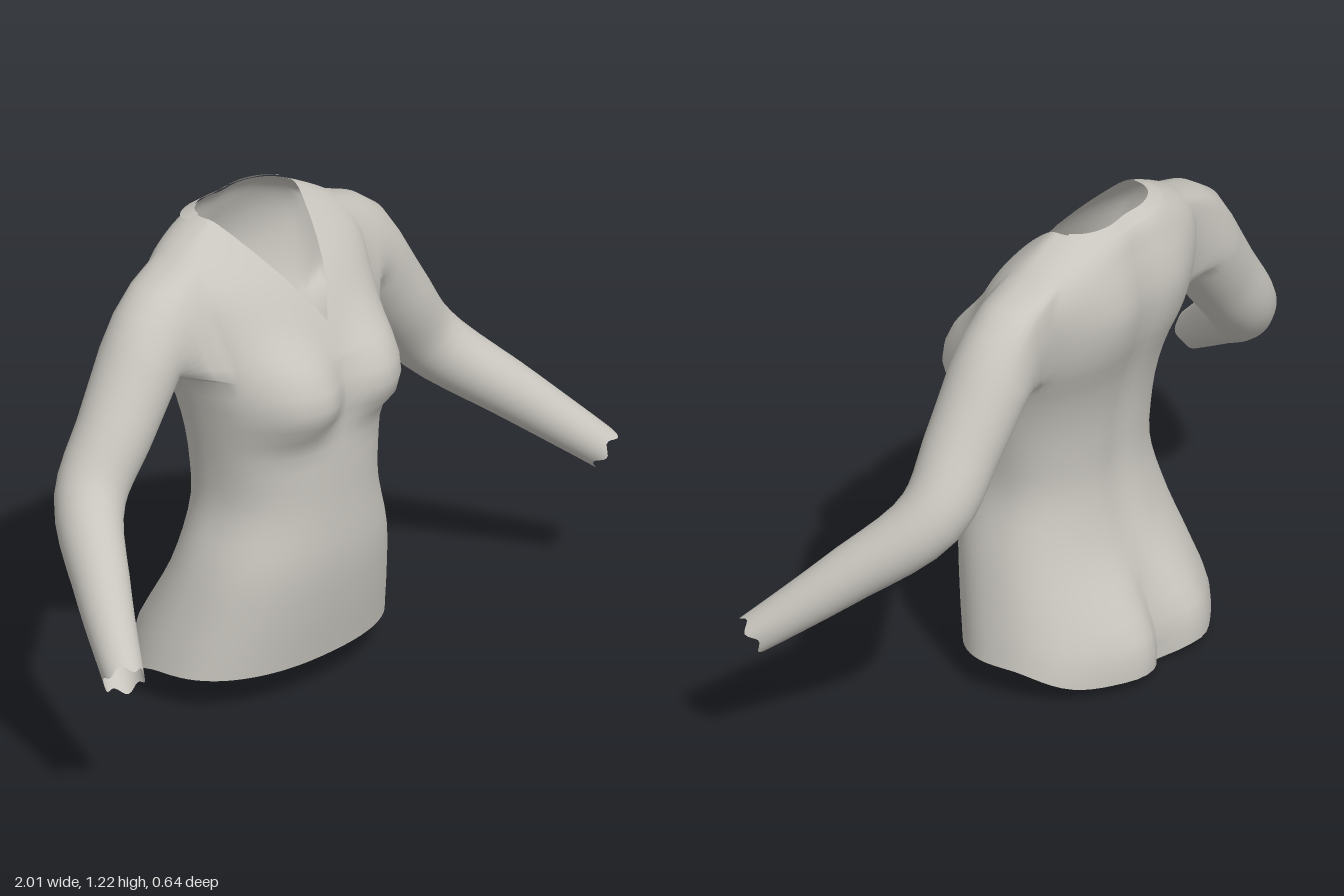
import * as THREE from 'three';

const COLS = 72, LOW = 18, ARM = 9, TOP = 6, ROWS = LOW + ARM + TOP;
const ARMPIT = 0.87, SHOULDER = 1.2, NECK = 1.4;
const { lerp, smoothstep } = THREE.MathUtils;

// Body sections: u, then height, half width, front z, back z, z of the widest point
const SECTIONS = [
  [0, 0, 0.385, 0.15, -0.315, -0.06],
  [0.1, 0.1, 0.368, 0.167, -0.315, -0.05],
  [0.2, 0.2, 0.345, 0.187, -0.272, -0.03],
  [0.35, 0.35, 0.308, 0.207, -0.203, 0],
  [0.5, 0.5, 0.264, 0.205, -0.17, 0],
  [0.6, 0.6, 0.268, 0.205, -0.173, 0],
  [0.7, 0.7, 0.284, 0.203, -0.185, 0],
  [0.8, 0.8, 0.305, 0.2, -0.21, -0.02],
  [0.9, 0.9, 0.335, 0.175, -0.245, -0.06],
  [1.0, 1.0, 0.35, 0.128, -0.263, -0.08],
  [1.1, 1.08, 0.355, 0.075, -0.257, -0.09],
  [1.2, 1.14, 0.32, 0.02, -0.242, -0.1],
  [1.3, 1.19, 0.235, -0.03, -0.225, -0.1],
  [1.4, 1.222, 0.165, -0.06, -0.195, -0.1],
];
const sectionAt = new THREE.CubicInterpolant(
  SECTIONS.map((s) => s[0]), SECTIONS.flatMap((s) => s.slice(1)), 5, new Float32Array(5));

const bell = (d, width) => Math.exp(-((d / width) ** 2));
const soften = (v) => Math.sign(v) * Math.abs(v) ** 0.87;

// Point on the body; angle 0 is the front and a quarter turn is the left side
function bodyPoint(angle, u) {
  const [y, w, front, back, mid] = sectionAt.evaluate(u);
  const c = Math.cos(angle);
  const x = w * soften(Math.sin(angle));
  let z = mid + (c > 0 ? front - mid : mid - back) * soften(c);
  if (c > 0) { // bust
    const r = Math.hypot((Math.abs(x) - 0.16) / 0.125, (y - 0.785) / (y > 0.785 ? 0.14 : 0.08));
    z += 0.064 * Math.exp(-(r ** 3)) * smoothstep(c, 0, 0.35);
  } else { // seat, cleft and spine groove
    const low = 1 - smoothstep(y, 0.1, 0.32);
    const fade = smoothstep(-c, 0, 0.4);
    z -= 0.026 * fade * bell(Math.abs(x) - 0.13, 0.09) * Math.max(low, 0.5 * bell(y - 1, 0.15));
    z += fade * (0.032 * low * bell(x, 0.04) + 0.01 * bell(x, 0.05));
  }
  return new THREE.Vector3(x, y, z);
}

// Lower edge: level in front, dipping at the back
function hemAt(angle) {
  const c = Math.cos(angle);
  const notch = c < 0 ? 0.028 * bell(Math.sin(angle), 0.09) : 0;
  return 0.086 - 0.052 * smoothstep(-c, 0.1, 0.85) - notch;
}

// Upper edge: V neckline in front, round behind
function necklineAt(angle) {
  if (Math.cos(angle) <= 0) return NECK;
  for (let u = 0.96; u < NECK; u += 0.002) {
    const p = bodyPoint(angle, u);
    if (Math.abs(p.x) <= (0.166 * (p.y - 0.96)) / 0.262 + 1e-6) return u;
  }
  return NECK;
}

// Sleeve centre line with radii, shoulder to cuff
const ARM_PATH = new THREE.CatmullRomCurve3([
  [0.445, 0.935, -0.09], [0.55, 0.795, -0.083], [0.67, 0.645, -0.07],
  [0.82, 0.49, 0.09], [0.955, 0.342, 0.262],
].map((p) => new THREE.Vector3(...p)));
const ARM_RADII = [0.106, 0.098, 0.089, 0.07, 0.051];

function armPoint(t, phi) {
  const centre = ARM_PATH.getPoint(t);
  const along = ARM_PATH.getTangent(t);
  const back = new THREE.Vector3(0, 0, -1);
  back.addScaledVector(along, -back.dot(along)).normalize();
  const up = new THREE.Vector3().crossVectors(along, back);
  const f = t * (ARM_RADII.length - 1), i = Math.min(Math.floor(f), ARM_RADII.length - 2);
  const r = lerp(ARM_RADII[i], ARM_RADII[i + 1], f - i);
  centre.addScaledVector(up, -r * Math.cos(phi)).addScaledVector(back, r * Math.sin(phi));
  if (t === 1) centre.addScaledVector(along, 0.01 * Math.sin(phi * 5)); // uneven cuff edge
  return centre;
}

export function createModel() {
  const points = [];
  const add = (p) => points.push(p) - 1;
  const quad = (list, a, b, c, d) => list.push(a, b, c, a, c, d);

  // Body grid
  const grid = [];
  for (let i = 0; i < COLS; i++) {
    const angle = (i / COLS) * Math.PI * 2;
    const hem = hemAt(angle), end = necklineAt(angle);
    grid.push([]);
    for (let j = 0; j <= ROWS; j++) {
      let u;
      if (j <= LOW) u = lerp(hem, ARMPIT, j / LOW);
      else {
        const v = j <= LOW + ARM
          ? lerp(ARMPIT, SHOULDER, (j - LOW) / ARM)
          : lerp(SHOULDER, NECK, (j - LOW - ARM) / TOP);
        u = ARMPIT + ((v - ARMPIT) * (end - ARMPIT)) / (NECK - ARMPIT);
      }
      grid[i].push(add(bodyPoint(angle, u)));
    }
  }

  // Body faces, leaving an armhole on each side
  const A0 = COLS / 6, A1 = COLS / 3, J0 = LOW, J1 = LOW + ARM;
  const torso = [];
  for (let i = 0; i < COLS; i++) {
    const n = (i + 1) % COLS, m = Math.min(i, COLS - 1 - i);
    for (let j = 0; j < ROWS; j++) {
      if (m >= A0 && m < A1 && j >= J0 && j < J1) continue;
      quad(torso, grid[i][j], grid[n][j], grid[n][j + 1], grid[i][j + 1]);
    }
  }

  // Sleeve faces, grown from the armhole edge
  function sleeve(side) {
    const faces = [];
    const at = (i, j) => grid[side > 0 ? i : COLS - i][j];
    const loop = [], mid = (A0 + A1) / 2;
    for (let i = mid; i < A1; i++) loop.push(at(i, J0));
    for (let j = J0; j < J1; j++) loop.push(at(A1, j));
    for (let i = A1; i > A0; i--) loop.push(at(i, J1));
    for (let j = J1; j > J0; j--) loop.push(at(A0, j));
    for (let i = A0; i < mid; i++) loop.push(at(i, J0));
    const n = loop.length;
    const phis = loop.map((_, k) => (k / n) * Math.PI * 2);
    const place = (p) => { p.x *= side; return p; };
    const rings = [loop];
    for (const t of [0.33, 0.67]) { // rounded shoulder cap
      rings.push(phis.map((phi, k) => {
        const p = place(armPoint(0, phi)).lerp(points[loop[k]], 1 - t);
        const bulge = 0.03 * 4 * t * (1 - t) * (1 - Math.cos(phi)) / 2;
        return add(p.add(new THREE.Vector3(side * 0.7 * bulge, 0.75 * bulge, 0)));
      }));
    }
    for (let s = 0; s <= 18; s++) rings.push(phis.map((phi) => add(place(armPoint(s / 18, phi)))));
    for (let r = 0; r + 1 < rings.length; r++) {
      for (let k = 0; k < n; k++) {
        const m = (k + 1) % n, [p, q] = [rings[r], rings[r + 1]];
        if (side > 0) quad(faces, p[k], p[m], q[m], q[k]);
        else quad(faces, p[k], q[k], q[m], p[m]);
      }
    }
    return faces;
  }
  const leftSleeve = sleeve(1), rightSleeve = sleeve(-1);

  // Narrow folded collar round the back of the neck
  const collar = [], C0 = COLS * 0.29, strips = [];
  for (let i = Math.ceil(C0); i <= COLS - Math.ceil(C0); i++) {
    const angle = (i / COLS) * Math.PI * 2;
    const width = 0.075 * Math.sqrt(Math.max(0, -Math.cos(angle)));
    const outer = bodyPoint(angle, NECK - width);
    outer.y += 0.006;
    outer.z -= 0.006;
    const inner = bodyPoint(angle, NECK);
    inner.y += 0.005;
    strips.push([add(outer), add(inner)]);
  }
  for (let k = 0; k + 1 < strips.length; k++) {
    quad(collar, strips[k][0], strips[k + 1][0], strips[k + 1][1], strips[k][1]);
  }

  // Shared vertices keep the shading smooth across the seams
  const whole = new THREE.BufferGeometry().setFromPoints(points);
  whole.setIndex([...torso, ...leftSleeve, ...rightSleeve, ...collar]);
  whole.computeVertexNormals();

  const fabric = new THREE.MeshStandardMaterial({ color: 0xc8c5be, side: THREE.DoubleSide });
  fabric.name = 'warm grey fabric';
  const model = new THREE.Group();
  model.name = 'longSleevedTop';
  for (const [name, faces] of Object.entries({ torso, leftSleeve, rightSleeve, collar })) {
    const geometry = new THREE.BufferGeometry();
    geometry.setAttribute('position', whole.getAttribute('position'));
    geometry.setAttribute('normal', whole.getAttribute('normal'));
    geometry.setIndex(faces);
    const mesh = new THREE.Mesh(geometry, fabric);
    mesh.name = name;
    model.add(mesh);
  }
  return model;
}
